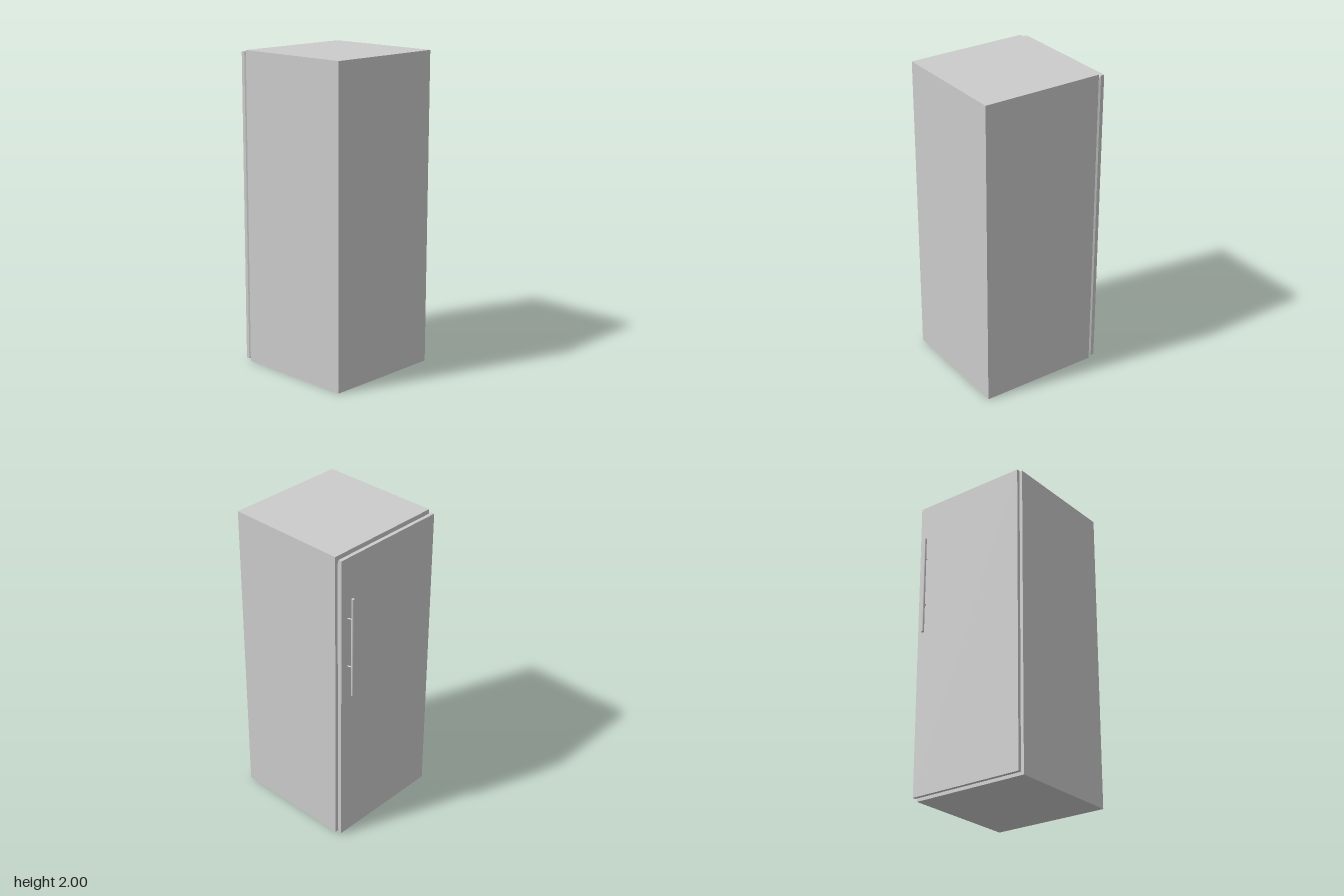
import * as THREE from 'three';

const material = new THREE.MeshStandardMaterial({ color: 0xcccccc });

function add(parent, name, geometry, x, y, z) {
  const mesh = new THREE.Mesh(geometry, material);
  mesh.name = name;
  mesh.position.set(x, y, z);
  parent.add(mesh);
  return mesh;
}

// Box whose +z face is inset by dx and dy on each side
function taperedBox(w, h, d, dx, dy) {
  const geometry = new THREE.BoxGeometry(w, h, d);
  const p = geometry.attributes.position;
  for (let i = 0; i < p.count; i++) {
    if (p.getZ(i) > 0) {
      p.setX(i, p.getX(i) - Math.sign(p.getX(i)) * dx);
      p.setY(i, p.getY(i) - Math.sign(p.getY(i)) * dy);
    }
  }
  geometry.computeVertexNormals();
  return geometry;
}

// Round bar between two points
function rod(parent, name, a, b, radius, sides) {
  const dir = b.clone().sub(a);
  const mid = a.clone().add(b).multiplyScalar(0.5);
  const geometry = new THREE.CylinderGeometry(radius, radius, dir.length(), sides);
  const mesh = add(parent, name, geometry, mid.x, mid.y, mid.z);
  mesh.quaternion.setFromUnitVectors(new THREE.Vector3(0, 1, 0), dir.normalize());
}

export function createModel() {
  const model = new THREE.Group();
  model.name = 'refrigerator';

  // Cabinet
  add(model, 'cabinet', new THREE.BoxGeometry(0.794, 2, 0.79), 0, 1, 0.04);

  // Door on the -z side: flat slab with a bevelled inner side towards the cabinet
  const door = new THREE.Group();
  door.name = 'door';
  model.add(door);
  const width = 0.784, height = 1.976;
  add(door, 'doorPanel', new THREE.BoxGeometry(width, height, 0.023), 0, 1, -0.387);
  add(door, 'doorInnerBevel', taperedBox(width, height, 0.021, 0.016, 0.038), 0, 1, -0.365);

  // Vertical bar handle on two slanted posts
  const handle = new THREE.Group();
  handle.name = 'handle';
  door.add(handle);
  const hx = 0.329, hz = -0.428;
  rod(handle, 'handleBar', new THREE.Vector3(hx, 1.07, hz), new THREE.Vector3(hx, 1.733, hz), 0.009, 20);
  for (const y of [1.27, 1.596]) {
    rod(handle, 'handlePost', new THREE.Vector3(hx, y, hz), new THREE.Vector3(0.339, y, -0.395), 0.004, 12);
  }

  return model;
}
